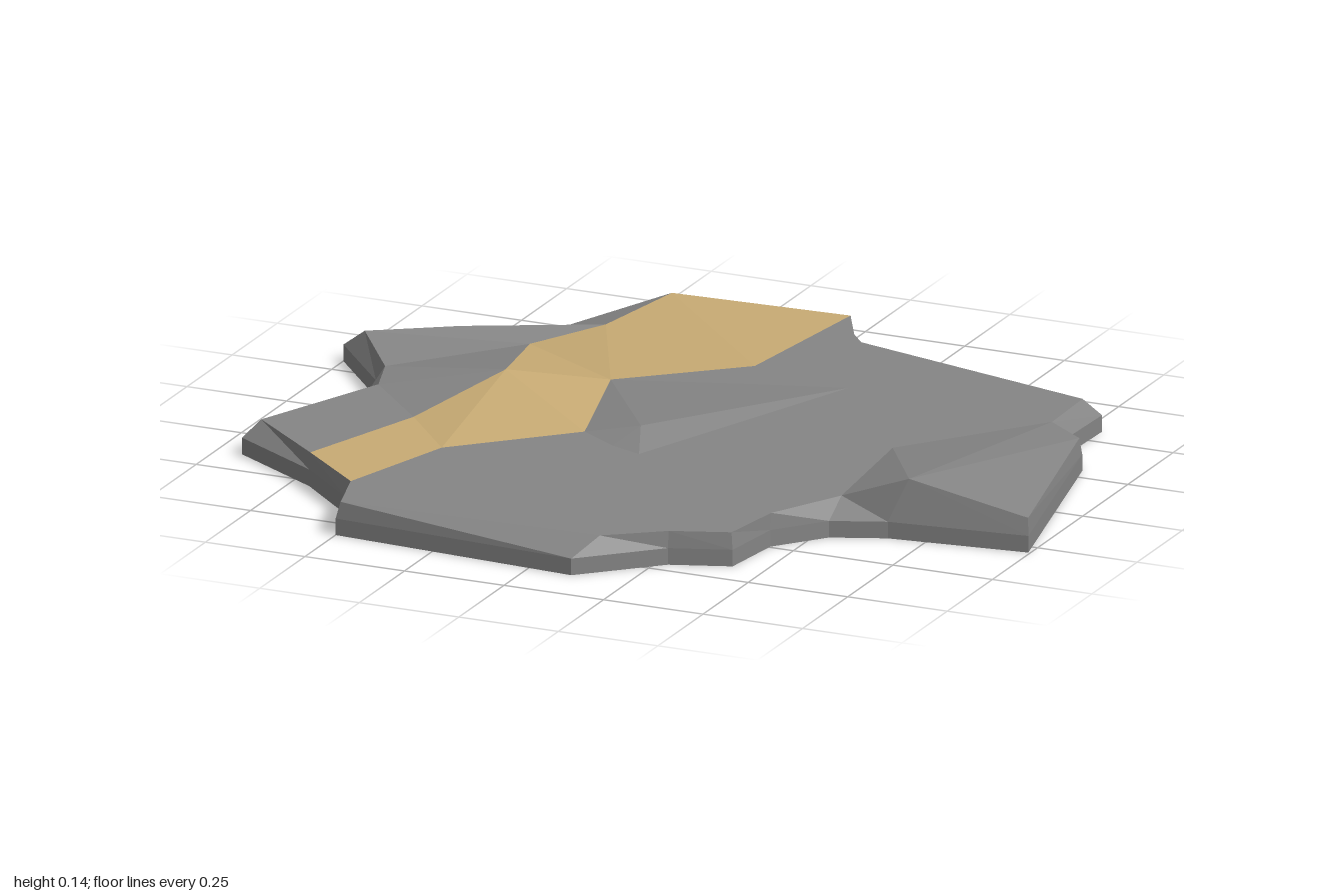
import * as THREE from 'three';

// Outline of the slab, [x, z], clockwise seen from above
const outer = [
  [-0.42, -0.86], [0.02, -0.88], [0.18, -0.695], [0.79, -0.57], [0.785, -0.4], [0.865, -0.295],
  [0.995, 0.29], [0.66, 0.33], [0.535, 0.38], [0.44, 0.495], [0.42, 0.66], [0.28, 0.71],
  [0.11, 0.87], [-0.5, 0.83], [-0.535, 0.69], [-0.7, 0.535], [-0.935, 0.39], [-0.8, 0.015],
  [-0.825, -0.11], [-1, -0.315], [-0.77, -0.51], [-0.595, -0.64],
];
// Matching rim of the top surface, [x, z, height if not 0.08]
const rim = [
  [-0.42, -0.855], [0.02, -0.875], [0.105, -0.715], [0.75, -0.55], [0.755, -0.37], [0.86, -0.29],
  [0.99, 0.28], [0.7, 0.3, 0.14], [0.535, 0.31], [0.44, 0.49], [0.415, 0.655], [0.28, 0.705],
  [0.15, 0.8], [-0.49, 0.825], [-0.53, 0.68], [-0.7, 0.53], [-0.9, 0.36], [-0.76, 0.02],
  [-0.8, -0.105], [-0.935, -0.29, 0.09], [-0.76, -0.44], [-0.47, -0.6, 0.075],
];

const at = ([x, z, y = 0.08]) => new THREE.Vector3(x, y, z);
const T = rim.map(at);
const level = (y) => outer.map(([x, z]) => new THREE.Vector3(x, y, z));

// Inner points: path edges, ridge and slope
const A = at([-0.595, -0.455, 0.055]), B = at([-0.49, -0.09, 0.12]), C = at([-0.59, 0.2]);
const D = at([-0.03, -0.455]), E = at([-0.29, -0.23]), F = at([-0.19, 0.135]), H = at([-0.44, 0.375]);
const P = at([-0.06, 0.11, 0.105]), K = at([0.5, -0.05]);
const R = [[0.02, -0.335], [0.23, -0.4], [-0.01, 0.23], [-0.09, 0.2]].map(at);

function build(triangles) {
  const g = new THREE.BufferGeometry().setFromPoints(triangles.flat());
  g.computeVertexNormals();
  return g;
}

// Triangulates polygons seen from above and turns every face up (or down)
function sheet(polygons, up = true) {
  const out = [];
  for (const poly of polygons) {
    const flat = poly.map((p) => new THREE.Vector2(p.x, p.z));
    for (const f of THREE.ShapeUtils.triangulateShape(flat, [])) {
      const [a, b, c] = f.map((i) => poly[i]);
      const ny = (b.z - a.z) * (c.x - a.x) - (b.x - a.x) * (c.z - a.z);
      out.push((ny > 0) === up ? [a, b, c] : [a, c, b]);
    }
  }
  return build(out);
}

// Band of faces between two loops
function band(low, high) {
  const out = [];
  low.forEach((a, i) => {
    const j = (i + 1) % low.length;
    out.push([a, high[i], high[j]], [a, high[j], low[j]]);
  });
  return build(out);
}

export function createModel() {
  const rock = new THREE.MeshStandardMaterial({ color: 0x858585, flatShading: true });
  rock.name = 'grey rock';
  const sand = new THREE.MeshStandardMaterial({ color: 0xc8ab74, flatShading: true });
  sand.name = 'sandy path';

  const group = new THREE.Group();
  group.name = 'rockPlate';
  const add = (name, geometry, material) => {
    const mesh = new THREE.Mesh(geometry, material);
    mesh.name = name;
    group.add(mesh);
  };

  // Slab body: underside, upright side and sloping rim
  add('underside', sheet([level(0)], false), rock);
  add('sideWall', band(level(0), level(0.04)), rock);
  add('slopingRim', band(level(0.04), T), rock);

  // Winding path across the top
  add('path', sheet([
    [T[0], T[1], D, T[21]], [T[21], D, E, A], [A, E, B], [B, E, F], [B, F, H, C], [C, H, T[14], T[15]],
  ]), sand);

  // Ground on the narrow side of the path
  add('narrowGround', sheet([
    [T[21], T[20], A], [T[20], T[19], A], [A, T[19], T[18]], [A, T[18], B],
    [B, T[18], T[17]], [B, T[17], C], [C, T[17], T[16], T[15]],
  ]), rock);

  // Broad flat ground
  add('broadGround', sheet([
    [...T.slice(1, 5), K, ...T.slice(8, 15), H, F, R[3], R[2], R[1], R[0], E, D],
  ]), rock);

  // Low ridge and the raised edge, each a fan around its peak
  const fan = (peak, ring) => ring.slice(1).map((p, i) => [peak, ring[i], p]);
  add('ridge', sheet(fan(P, [E, ...R, F, E])), rock);
  add('raisedEdge', sheet(fan(T[7], [T[8], K, T[4], T[5], T[6]])), rock);

  return group;
}
